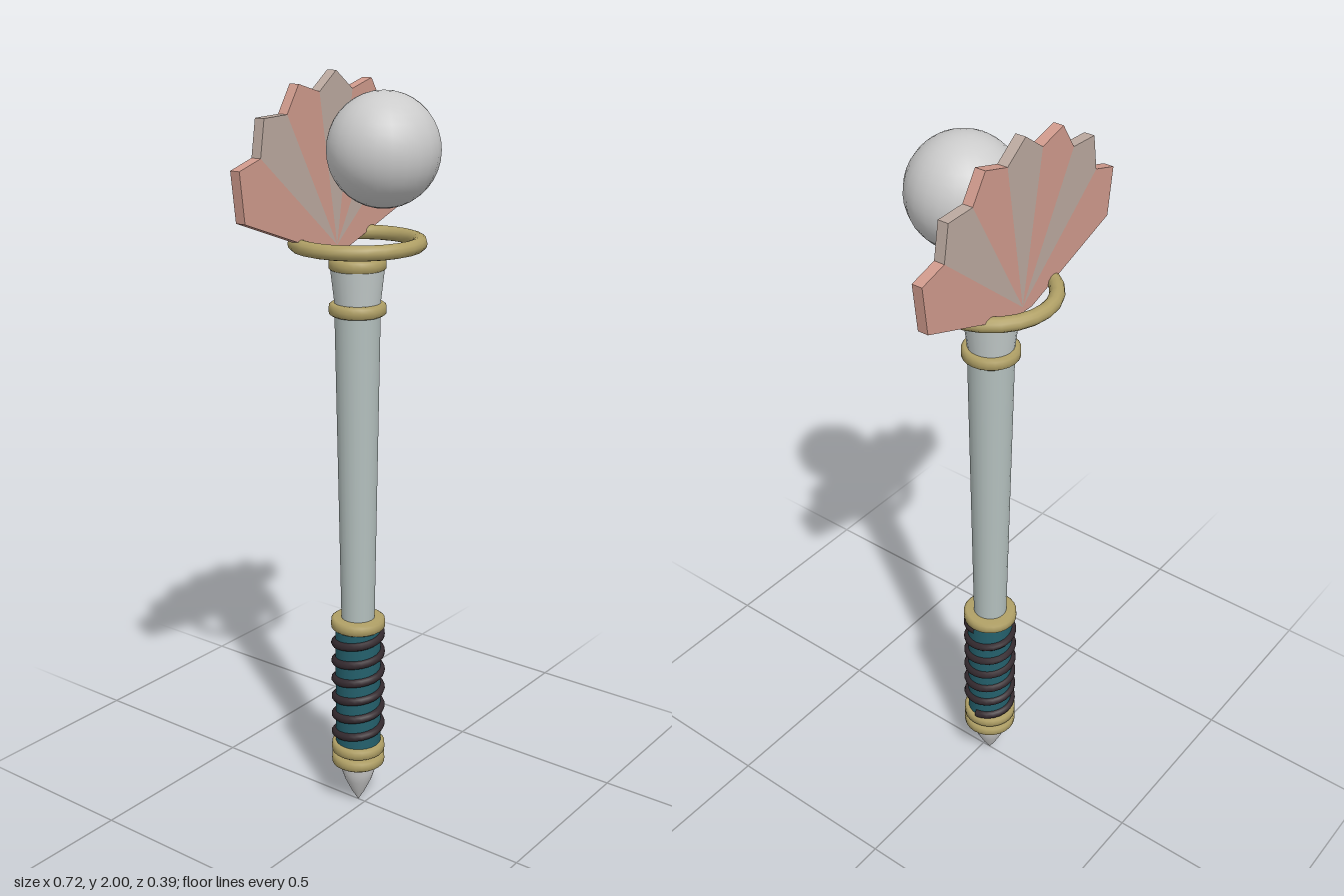
import * as THREE from 'three';

const material = (color) => new THREE.MeshStandardMaterial({ color });
const gold = material(0xb0a066);
const steel = material(0xb4c0be);
const AXIS_Z = -0.023;

function add(parent, name, geometry, mat, x = 0, y = 0, z = 0) {
  const mesh = new THREE.Mesh(geometry, mat);
  mesh.name = name;
  mesh.position.set(x, y, z);
  parent.add(mesh);
  return mesh;
}

const lathe = (profile, segments = 24) =>
  new THREE.LatheGeometry(profile.map(([r, y]) => new THREE.Vector2(r, y)), segments);

export function createModel() {
  const model = new THREE.Group();
  model.name = 'sceptre';

  const staff = new THREE.Group();
  staff.name = 'staff';
  staff.position.z = AXIS_Z;
  model.add(staff);

  // Pointed pommel
  add(staff, 'pommelTip', lathe([[0, 0.005], [0.018, 0.035], [0.037, 0.075], [0.047, 0.105], [0.05, 0.14]]), material(0xc0c4c4));

  // Grip core
  add(staff, 'grip', new THREE.CylinderGeometry(0.062, 0.062, 0.36, 24), material(0x24606c), 0, 0.37);

  // Cord wound round the grip
  const turns = 6;
  const cord = [];
  for (let i = 0; i <= turns * 16; i++) {
    const a = (i / 16) * Math.PI * 2;
    cord.push(new THREE.Vector3(0.062 * Math.cos(a), 0.204 + (0.326 * i) / (turns * 16), -0.062 * Math.sin(a)));
  }
  add(staff, 'gripCord', new THREE.TubeGeometry(new THREE.CatmullRomCurve3(cord), turns * 24, 0.012, 8), material(0x33292e));

  // Tapered shaft and flared neck
  add(staff, 'shaft', new THREE.CylinderGeometry(0.059, 0.045, 0.86, 24), steel, 0, 0.985);
  add(staff, 'neck', new THREE.CylinderGeometry(0.07, 0.057, 0.11, 24), material(0xc4cccb), 0, 1.475);

  // Bevelled collars; the highest one closes the neck
  for (const y of [0.144, 0.181, 0.555, 1.42, 1.535]) {
    add(staff, 'collar', lathe([
      [0, -0.016], [0.066, -0.016], [0.073, -0.011], [0.0735, 0], [0.073, 0.011], [0.066, 0.016], [0, 0.017],
    ]), gold, 0, y);
  }

  // Floating halo ring
  const halo = add(staff, 'haloRing', new THREE.TorusGeometry(0.156, 0.019, 12, 24), gold, 0, 1.588);
  halo.rotation.x = Math.PI / 2;

  // Orb in front of the fan
  add(model, 'orb', new THREE.SphereGeometry(0.14, 24, 18), material(0xcccccc), 0, 1.82, 0.057);

  // Fan of wedge-shaped feathers: right half rim, alternating valleys and tips
  const fan = new THREE.Group();
  fan.name = 'fan';
  model.add(fan);
  const feathers = [
    [[0.065, 1.953], [0.143, 1.975], [0.187, 1.908]],
    [[0.187, 1.908], [0.27, 1.905], [0.285, 1.815]],
    [[0.285, 1.815], [0.36, 1.793], [0.345, 1.67], [0.037, 1.56], [0, 1.56]],
  ];
  const pink = material(0xcf9a8c);
  const taupe = material(0xbba99f);
  const addFeather = (rim, mat) => {
    const shape = new THREE.Shape([[0, 1.575], ...rim].map(([x, y]) => new THREE.Vector2(x, y)));
    add(fan, 'feather', new THREE.ExtrudeGeometry(shape, { depth: 0.028, bevelEnabled: false }), mat, 0, 0, -0.115);
  };
  addFeather([[-0.065, 1.953], [0, 2], [0.065, 1.953]], taupe);
  feathers.forEach((rim, i) => {
    const mat = i % 2 ? taupe : pink;
    addFeather(rim, mat);
    addFeather(rim.map(([x, y]) => [-x, y]), mat);
  });

  return model;
}
